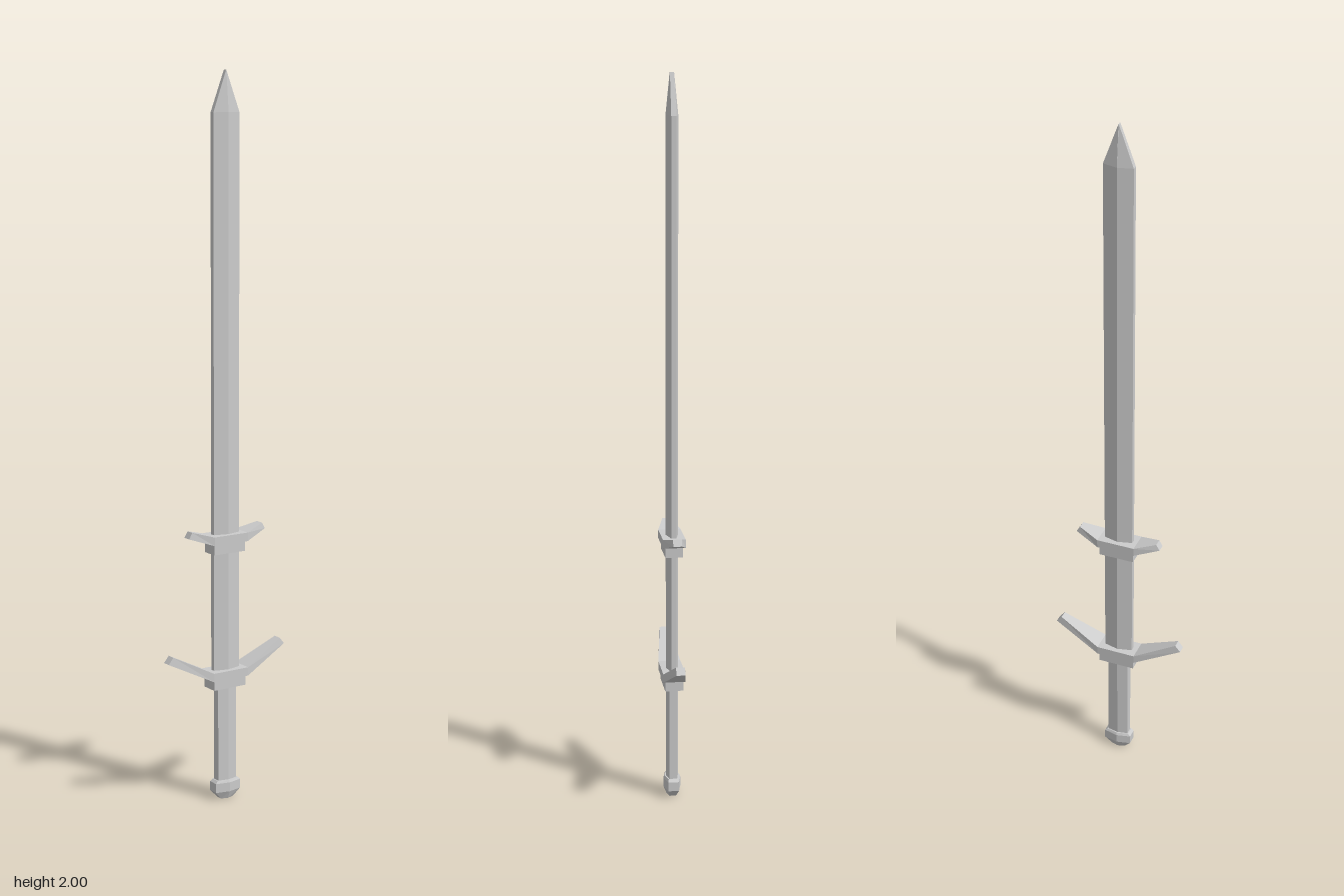
import * as THREE from 'three';

const material = new THREE.MeshStandardMaterial({ color: 0xcccccc, flatShading: true });

// Skin a list of equal-sized rings (counter-clockwise around the travel direction) and cap both ends.
function loft(name, rings) {
  const pos = [];
  const tri = (a, b, c) => pos.push(...a, ...b, ...c);
  const n = rings[0].length;
  for (let i = 0; i < rings.length - 1; i++) {
    for (let j = 0; j < n; j++) {
      const k = (j + 1) % n, lo = rings[i], hi = rings[i + 1];
      tri(lo[j], lo[k], hi[k]);
      tri(lo[j], hi[k], hi[j]);
    }
  }
  const first = rings[0], last = rings[rings.length - 1];
  for (let j = 1; j < n - 1; j++) {
    tri(first[0], first[j + 1], first[j]);
    tri(last[0], last[j], last[j + 1]);
  }
  const geo = new THREE.BufferGeometry();
  geo.setAttribute('position', new THREE.Float32BufferAttribute(pos, 3));
  geo.computeVertexNormals();
  const mesh = new THREE.Mesh(geo, material);
  mesh.name = name;
  return mesh;
}

// Six-sided section: half width w, edge half thickness e, ridge half thickness r.
const hex = ([y, w, e, r]) => [
  [0, y, r], [w, y, e], [w, y, -e], [0, y, -r], [-w, y, -e], [-w, y, e],
];

// Guard with swept arms, lofted along x from mirrored stations [x, bottom, top, half depth].
// The tip is cut at a slant, so its top corner sits further in.
function guard(name, { inner, bottom, top, depth, tipLow, tipHigh, tipDepth }) {
  const ring = (xb, yb, xt, yt, z) => [[xb, yb, -z], [xt, yt, -z], [xt, yt, z], [xb, yb, z]];
  const station = (s) => [
    ring(s * inner, bottom, s * inner, top, depth),
    ring(s * tipLow[0], tipLow[1], s * tipHigh[0], tipHigh[1], tipDepth),
  ];
  return loft(name, [...station(-1).reverse(), ...station(1)]);
}

function collar(name, w, y0, y1, d) {
  const mesh = new THREE.Mesh(new THREE.BoxGeometry(w * 2, y1 - y0, d * 2), material);
  mesh.position.y = (y0 + y1) / 2;
  mesh.name = name;
  return mesh;
}

export function createModel() {
  const sword = new THREE.Group();
  sword.name = 'sword';

  // Blade with a central ridge and a tapered point
  sword.add(loft('blade', [
    [0.34, 0.041, 0.007, 0.017],
    [1.89, 0.041, 0.007, 0.017],
    [2.0, 0.0005, 0.005, 0.006],
  ].map(hex)));

  // Grip and pommel
  sword.add(loft('grip', [[0.04, 0.03, 0.011, 0.017], [0.34, 0.03, 0.011, 0.017]].map(hex)));
  sword.add(loft('pommel', [
    [0, 0.02, 0.009, 0.015],
    [0.022, 0.04, 0.015, 0.024],
    [0.048, 0.04, 0.015, 0.024],
    [0.055, 0.033, 0.013, 0.021],
  ].map(hex)));

  // Main guard
  sword.add(collar('mainCollar', 0.052, 0.323, 0.352, 0.025));
  sword.add(guard('mainGuard', {
    inner: 0.056, bottom: 0.35, top: 0.374, depth: 0.031,
    tipLow: [0.191, 0.417], tipHigh: [0.176, 0.435], tipDepth: 0.012,
  }));

  // Smaller guard part way up the blade
  sword.add(collar('upperCollar', 0.05, 0.705, 0.737, 0.024));
  sword.add(guard('upperGuard', {
    inner: 0.054, bottom: 0.733, top: 0.757, depth: 0.031,
    tipLow: [0.124, 0.757], tipHigh: [0.114, 0.774], tipDepth: 0.012,
  }));

  return sword;
}
